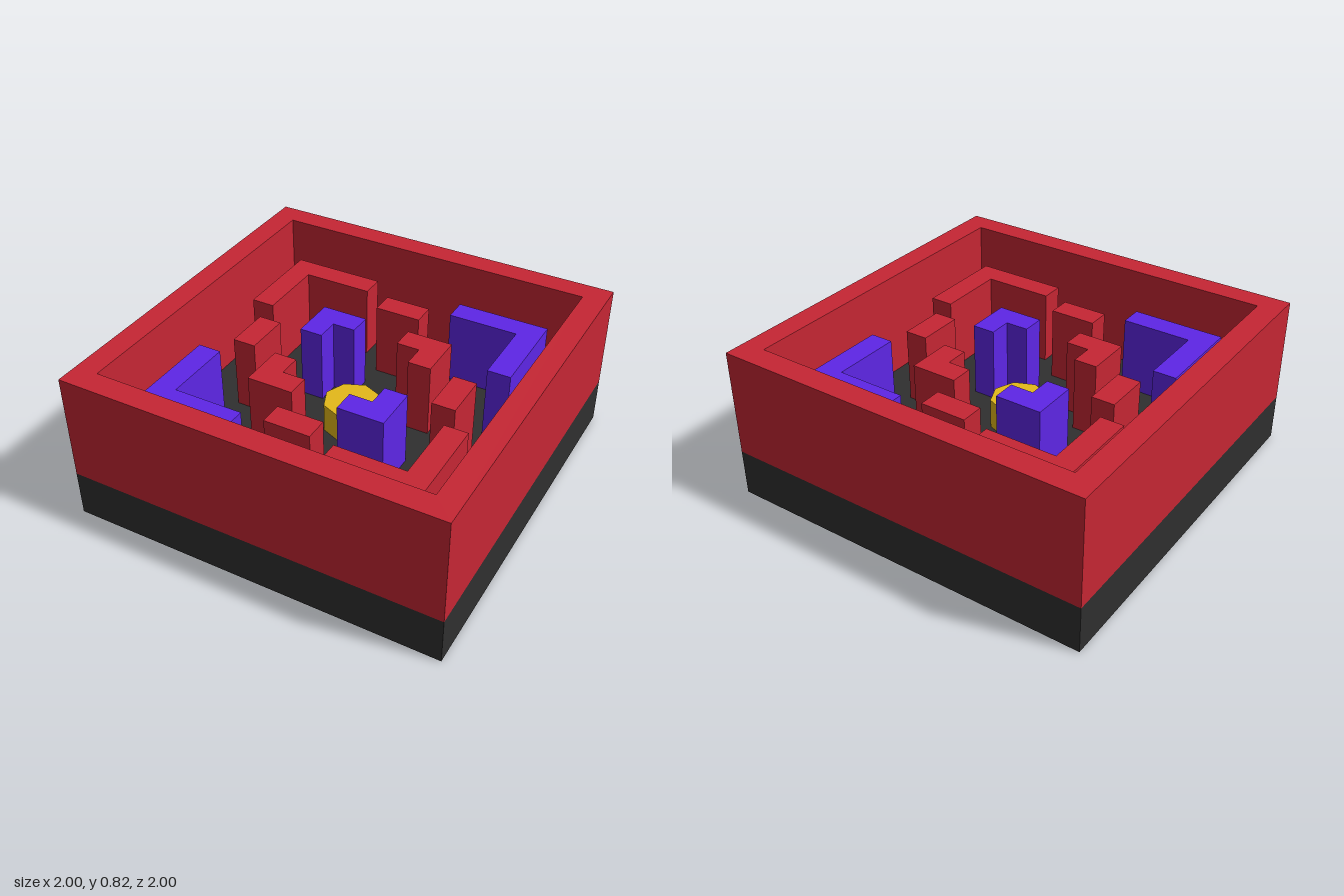
import * as THREE from 'three';

const FLOOR = 0.25, RIM = 0.82, BLOCK = 0.656, GEM = 0.41;

// Extrudes an (x, z) outline straight up between two heights
function prism(name, points, hole, y0, y1, material) {
  const toShape = (pts) => pts.map(([x, z]) => new THREE.Vector2(x, -z));
  const shape = new THREE.Shape(toShape(points));
  if (hole) shape.holes.push(new THREE.Path(toShape(hole)));
  const geo = new THREE.ExtrudeGeometry(shape, { depth: y1 - y0, bevelEnabled: false });
  geo.rotateX(-Math.PI / 2);
  const mesh = new THREE.Mesh(geo, material);
  mesh.position.y = y0;
  mesh.name = name;
  return mesh;
}

// Counter-clockwise seen from above, so hole walls face inwards
const square = (r) => [[-r, r], [r, r], [r, -r], [-r, -r]];

// L outline with its outer corner at (sx * r, sz * r), arms pointing to the axes
function corner(sx, sz, r, arm, t) {
  const a = r - arm, b = r - t;
  return [[r, r], [a, r], [a, b], [b, b], [b, a], [r, a]].map(([x, z]) => [sx * x, sz * z]);
}

export function createModel() {
  const group = new THREE.Group();
  const mat = (color) => new THREE.MeshStandardMaterial({ color, flatShading: true });
  const dark = mat(0x2f2f2f), red = mat(0xc62634), violet = mat(0x5e26e6), gold = mat(0xe4b91a);

  // Slab and surrounding wall
  const base = new THREE.Mesh(new THREE.BoxGeometry(2, FLOOR, 2), dark);
  base.position.y = FLOOR / 2;
  base.name = 'base';
  group.add(base);
  group.add(prism('outerWall', square(1), square(0.875), FLOOR, RIM, red));

  // Large and small L-shaped blocks, colours alternating between corners
  for (const sx of [-1, 1]) for (const sz of [-1, 1]) {
    const same = sx === sz;
    group.add(prism('outerCornerBlock', corner(sx, sz, 0.75, 0.5, 0.125), null, FLOOR, BLOCK, same ? red : violet));
    group.add(prism('innerCornerBlock', corner(sx, sz, 0.375, 0.25, 0.125), null, FLOOR, BLOCK, same ? violet : red));
  }

  // Straight blocks on the four axes
  for (let i = 0; i < 4; i++) {
    const angle = i * Math.PI / 2;
    const block = new THREE.Mesh(new THREE.BoxGeometry(0.25, BLOCK - FLOOR, 0.125), red);
    block.position.set(Math.sin(angle) * 0.5625, (BLOCK + FLOOR) / 2, Math.cos(angle) * 0.5625);
    block.rotation.y = angle;
    block.name = 'straightBlock';
    group.add(block);
  }

  // Octagonal centrepiece
  const centre = new THREE.Mesh(new THREE.CylinderGeometry(0.15, 0.15, GEM - FLOOR, 8), gold);
  centre.position.y = (GEM + FLOOR) / 2;
  centre.name = 'centrepiece';
  group.add(centre);

  return group;
}
